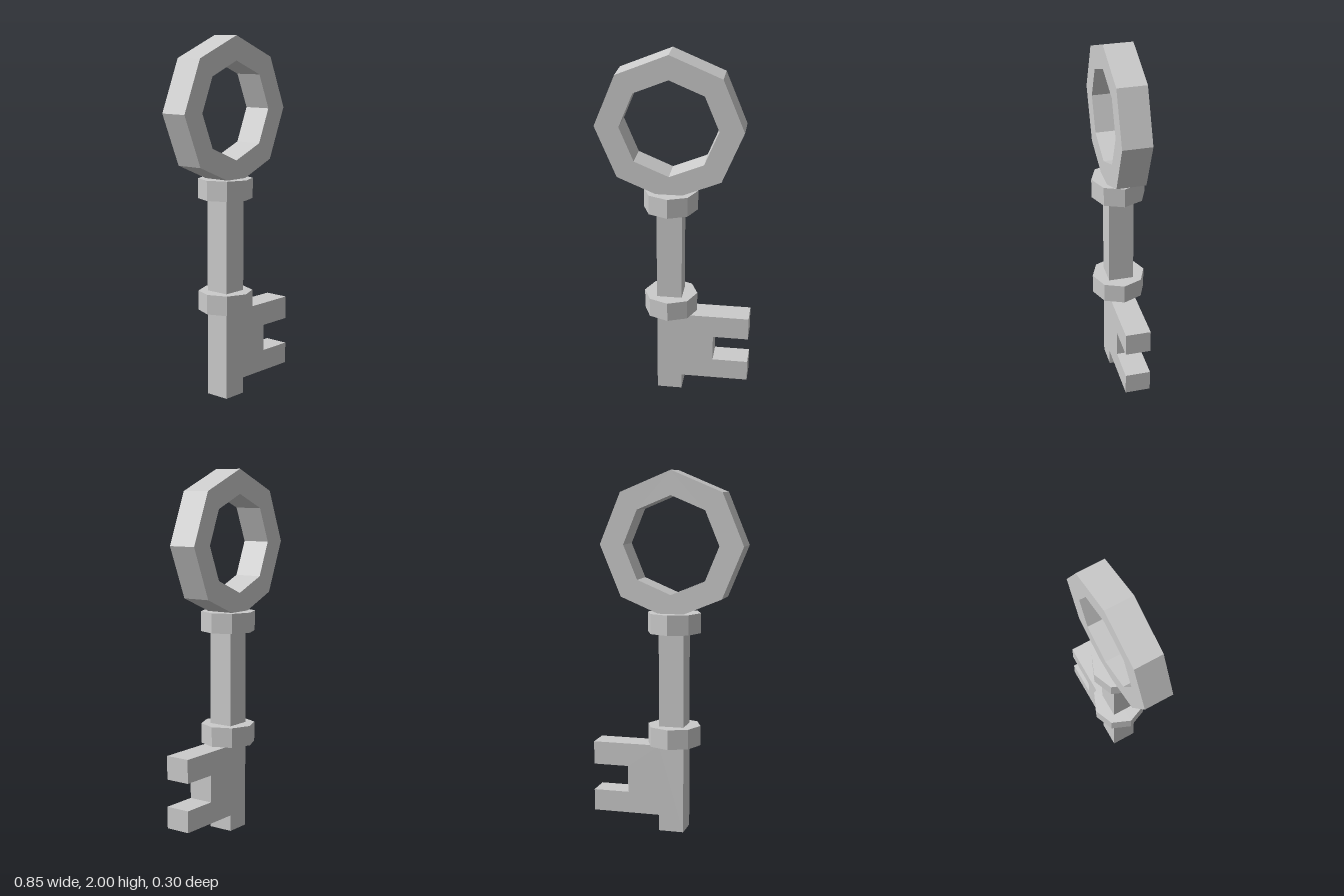
import * as THREE from 'three';

const AXIS_X = -0.025; // centre line of the shaft

function octagon(target, radius) {
  const points = [];
  for (let i = 0; i < 8; i++) {
    const a = (i * Math.PI) / 4;
    points.push(new THREE.Vector2(AXIS_X + radius * Math.cos(a), 1.6 + radius * Math.sin(a)));
  }
  return target.setFromPoints(points);
}

function slab(shape, depth) {
  const geometry = new THREE.ExtrudeGeometry(shape, { depth, bevelEnabled: false });
  return geometry.translate(0, 0, -depth / 2);
}

export function createModel() {
  const group = new THREE.Group();
  group.name = 'key';
  const material = new THREE.MeshStandardMaterial({ color: 0xcccccc, flatShading: true });
  const add = (name, geometry) => {
    const mesh = new THREE.Mesh(geometry, material);
    mesh.name = name;
    group.add(mesh);
    return mesh;
  };

  // Octagonal ring handle
  const ring = octagon(new THREE.Shape(), 0.4);
  ring.holes.push(octagon(new THREE.Path(), 0.267));
  add('ringHandle', slab(ring, 0.16));

  // Square shaft and two-toothed bit in one outline
  const outline = [
    [-0.095, 0], [0.045, 0], [0.045, 0.09], [0.425, 0.09], [0.425, 0.21], [0.225, 0.21],
    [0.225, 0.36], [0.425, 0.36], [0.425, 0.49], [0.045, 0.49], [0.045, 1.22], [-0.095, 1.22],
  ].map(([x, y]) => new THREE.Vector2(x, y));
  add('shaftAndBit', slab(new THREE.Shape(outline), 0.14));

  // Octagonal collars at both ends of the bare shaft
  for (const [name, y] of [['lowerCollar', 0.545], ['upperCollar', 1.175]]) {
    add(name, new THREE.CylinderGeometry(0.15, 0.15, 0.11, 8)).position.set(AXIS_X, y, 0);
  }
  return group;
}
